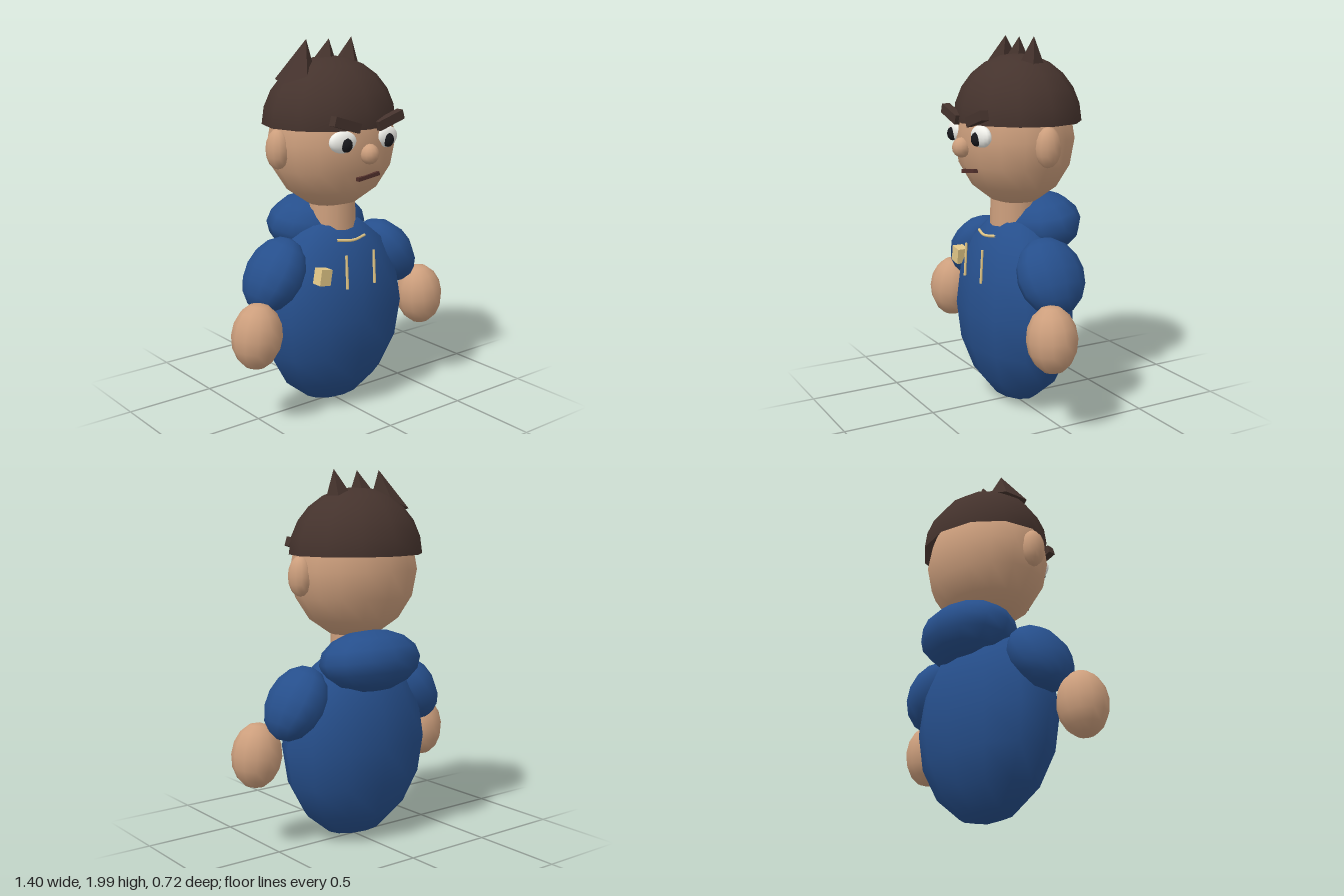
import * as THREE from 'three';

const mat = (color, flatShading = false) => new THREE.MeshStandardMaterial({ color, flatShading });

export function createModel() {
  const model = new THREE.Group();
  const skin = mat(0xcd9f7d), blue = mat(0x264f8c), hairMat = mat(0x45332d);
  const spikeMat = mat(0x45332d, true), cordMat = mat(0xe3c888);
  const white = mat(0xf0f0ea), black = mat(0x18181c), lip = mat(0x52302b);

  const add = (name, geometry, material, pos = [0, 0, 0], rot = [0, 0, 0]) => {
    const mesh = new THREE.Mesh(geometry, material);
    mesh.name = name;
    mesh.position.set(...pos);
    mesh.rotation.set(...rot);
    model.add(mesh);
    return mesh;
  };
  // Scaled low-poly ball
  const ball = (name, material, pos, radii, rot, w = 12, h = 8) =>
    add(name, new THREE.SphereGeometry(1, w, h).scale(...radii), material, pos, rot);

  // Torso, hood and neck
  ball('torso', blue, [0, 0.54, 0], [0.44, 0.53, 0.28]);
  ball('hood', blue, [0, 1.0, -0.14], [0.295, 0.168, 0.225], [0.15, 0, 0]);
  add('neck', new THREE.CylinderGeometry(0.125, 0.13, 0.22, 14), skin, [0, 1.08, 0]);

  // Head, nose and hair cap
  ball('head', skin, [0, 1.48, 0], [0.36, 0.37, 0.31], [0, 0, 0], 16, 8);
  ball('nose', skin, [0, 1.435, 0.31], [0.05, 0.053, 0.05]);
  const cap = new THREE.SphereGeometry(1, 12, 6, 0, Math.PI * 2, 0, Math.PI / 2).scale(0.37, 0.35, 0.33);
  const capMat = hairMat.clone();
  capMat.side = THREE.DoubleSide;
  add('hairCap', cap, capMat, [0, 1.56, -0.02]);

  // Mirrored parts
  for (const s of [1, -1]) {
    const side = s > 0 ? 'left' : 'right';
    ball(side + 'Sleeve', blue, [s * 0.385, 0.795, 0], [0.14, 0.21, 0.185], [0, 0, s * 0.58]);
    ball(side + 'Hand', skin, [s * 0.565, 0.525, 0.1], [0.135, 0.175, 0.13], [0, 0, s * 0.1]);
    ball(side + 'Ear', skin, [s * 0.35, 1.455, 0], [0.06, 0.105, 0.07]);
    ball(side + 'Eye', white, [s * 0.143, 1.505, 0.27], [0.08, 0.057, 0.035], [0, s * 0.12, 0], 16, 10);
    ball(side + 'Pupil', black, [s * 0.138, 1.492, 0.294], [0.033, 0.037, 0.028]);
    add(side + 'Eyebrow', new THREE.BoxGeometry(0.17, 0.05, 0.045), hairMat,
      [s * 0.143, 1.595, 0.293], [0, 0, s * 0.3]);
    add(side + 'Drawstring', new THREE.CylinderGeometry(0.007, 0.008, 0.18, 6), cordMat,
      [s * 0.093, 0.81, 0.247], [-0.06, 0, 0]);
  }

  // Crooked mouth
  add('mouth', new THREE.BoxGeometry(0.14, 0.02, 0.025), lip, [0.02, 1.312, 0.275], [0, 0, 0.13]);

  // Leaning hair spikes: base point, base radius, base tilt, tip point
  const spike = (name, base, radius, tilt, tip) => {
    const g = new THREE.ConeGeometry(radius, 1, 5).translate(0, 0.5, 0);
    const lean = new THREE.Vector3(...tip).sub(new THREE.Vector3(...base))
      .applyAxisAngle(new THREE.Vector3(0, 0, 1), -tilt);
    const p = g.attributes.position;
    for (let i = 0; i < p.count; i++) {
      const t = p.getY(i);
      p.setXYZ(i, p.getX(i) + lean.x * t, lean.y * t, p.getZ(i) + lean.z * t);
    }
    g.computeVertexNormals();
    add(name, g, spikeMat, base, [0, 0, tilt]);
  };
  spike('rightSpike', [-0.215, 1.82, -0.035], 0.11, 0.38, [-0.143, 1.998, -0.03]);
  spike('middleSpike', [-0.03, 1.88, -0.03], 0.066, 0.05, [0.004, 1.995, -0.03]);
  spike('leftSpike', [0.125, 1.86, -0.03], 0.07, -0.2, [0.155, 2.0, -0.03]);

  // Collar cord and chest patch
  const cord = new THREE.CatmullRomCurve3([
    new THREE.Vector3(-0.095, 0.965, 0.163),
    new THREE.Vector3(0, 0.956, 0.182),
    new THREE.Vector3(0.095, 0.965, 0.163),
  ]);
  add('collarCord', new THREE.TubeGeometry(cord, 10, 0.008, 6), cordMat);
  add('chestPatch', new THREE.BoxGeometry(0.07, 0.085, 0.06), cordMat, [-0.228, 0.805, 0.215], [0, 0, -0.17]);

  return model;
}
